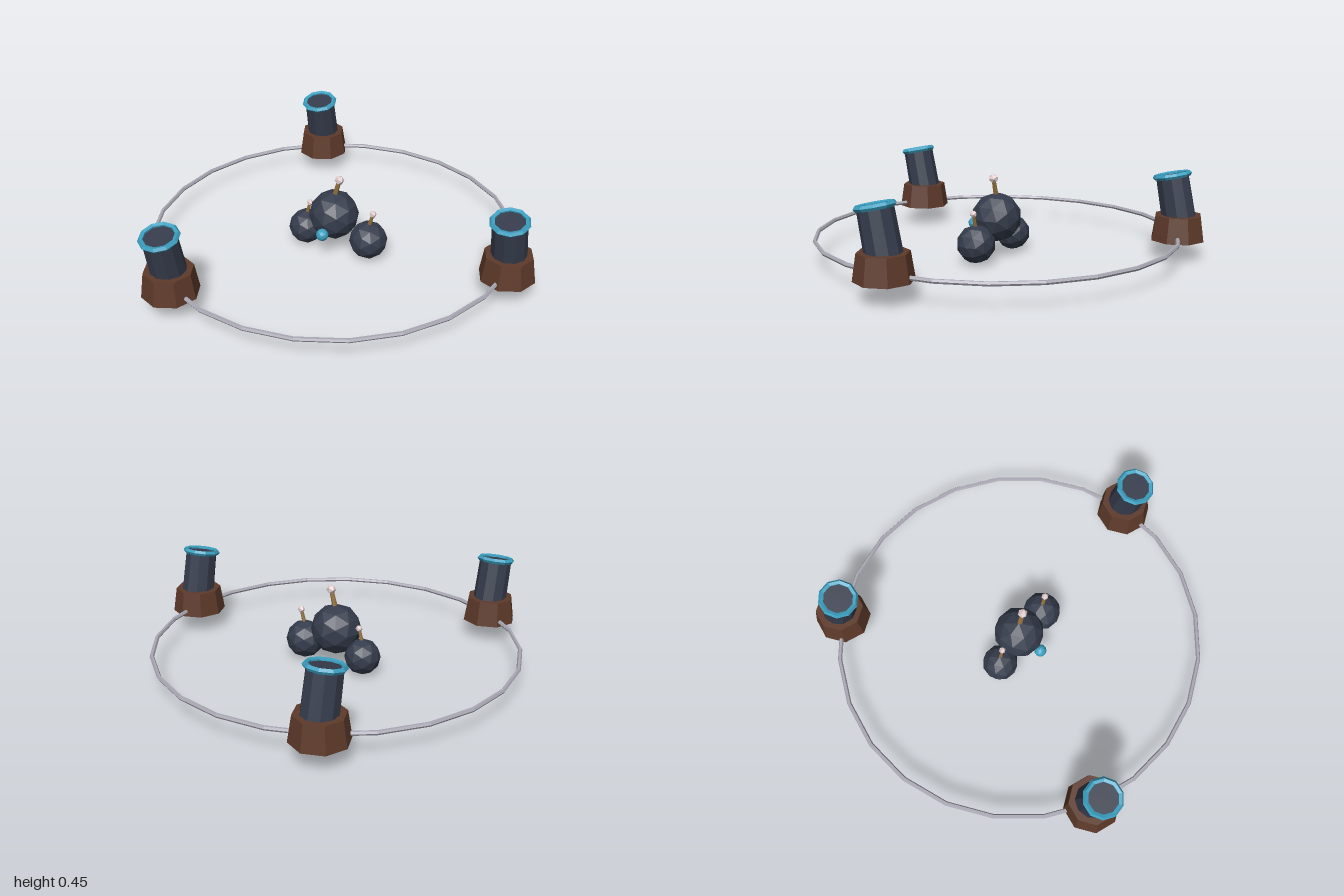
import * as THREE from 'three';

const mat = (name, color) => {
  const m = new THREE.MeshStandardMaterial({ color, flatShading: true });
  m.name = name;
  return m;
};

export function createModel() {
  const iron = mat('dark iron', 0x353c4c);
  const wood = mat('brown wood', 0x5e3a2a);
  const teal = mat('teal', 0x3a9fc0);
  const steel = mat('pale steel', 0xaaa8b4);
  const cord = mat('tan cord', 0x94713f);
  const spark = mat('pale spark', 0xe2cccc);

  const model = new THREE.Group();
  model.name = 'mortarRing';
  const cx = -0.067; // centre of the ring

  const add = (parent, name, geometry, material, x = 0, y = 0, z = 0) => {
    const m = new THREE.Mesh(geometry, material);
    m.name = name;
    m.position.set(x, y, z);
    parent.add(m);
    return m;
  };

  // Thin ring joining the mortars
  add(model, 'ring', new THREE.TorusGeometry(0.922, 0.011, 6, 24), steel, cx, 0.125, 0)
    .rotation.x = Math.PI / 2;

  // Three mortars, all tilted towards the front
  const baseGeo = new THREE.CylinderGeometry(0.12, 0.14, 0.128, 8);
  const barrelGeo = new THREE.CylinderGeometry(0.083, 0.088, 0.28, 10);
  const rimGeo = new THREE.TorusGeometry(0.085, 0.014, 5, 10);
  for (let i = 0; i < 3; i++) {
    const a = (i * Math.PI * 2) / 3;
    const mortar = new THREE.Group();
    mortar.name = 'mortar';
    mortar.position.set(cx + 0.923 * Math.cos(a), 0, 0.923 * Math.sin(a));
    add(mortar, 'base', baseGeo, wood, 0, 0.164, 0);
    const tube = new THREE.Group();
    tube.name = 'tiltedTube';
    tube.position.set(0, 0.225, 0);
    tube.rotation.x = 0.2;
    add(tube, 'barrel', barrelGeo, iron, 0, 0.065, 0);
    add(tube, 'rim', rimGeo, teal, 0, 0.205, 0).rotation.x = Math.PI / 2;
    mortar.add(tube);
    model.add(mortar);
  }

  // Bombs with leaning fuses: x, y, radius
  const bodyGeo = new THREE.IcosahedronGeometry(1, 1);
  const fuseGeo = new THREE.CylinderGeometry(0.085, 0.11, 0.8, 6);
  const sparkGeo = new THREE.IcosahedronGeometry(0.195, 0);
  for (const [x, y, r] of [[cx, 0.206, 0.128], [-0.226, 0.094, 0.091], [0.126, 0.104, 0.098]]) {
    const bomb = new THREE.Group();
    bomb.name = 'bomb';
    bomb.position.set(x, y, 0);
    bomb.scale.setScalar(r);
    add(bomb, 'body', bodyGeo, iron);
    add(bomb, 'fuse', fuseGeo, cord, 0.13, 1.18, 0).rotation.z = -0.27;
    add(bomb, 'spark', sparkGeo, spark, 0.245, 1.6, 0);
    model.add(bomb);
  }

  // Small orb on the front of the large bomb
  add(model, 'frontOrb', new THREE.IcosahedronGeometry(0.032, 1), teal, cx, 0.158, 0.136);

  return model;
}
